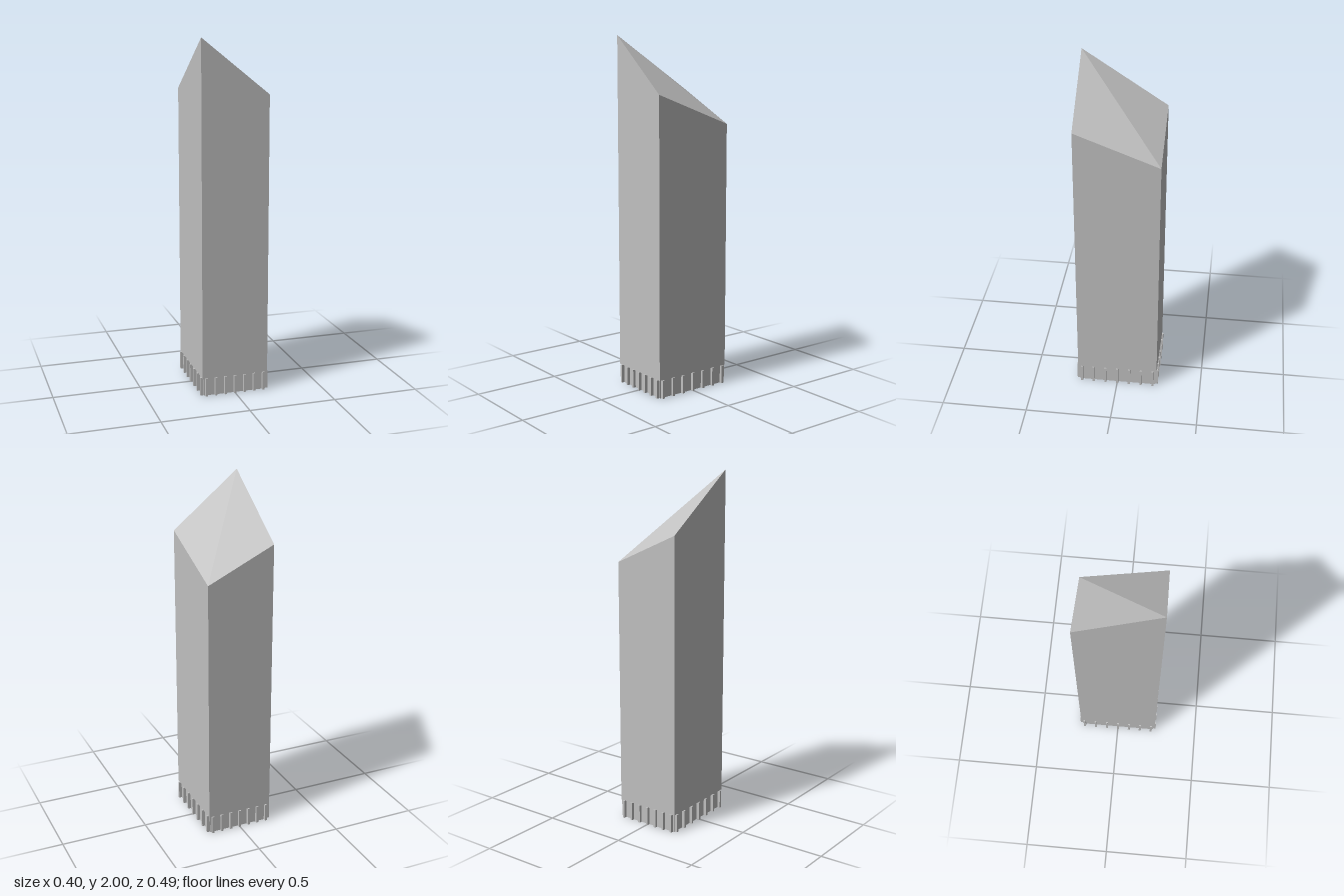
import * as THREE from 'three';

export function createModel() {
  const group = new THREE.Group();
  group.name = 'tower';
  const grey = new THREE.MeshStandardMaterial({ color: 0xc0c0c0, side: THREE.DoubleSide });
  grey.name = 'concrete grey';

  const halfX = 0.192, halfZ = 0.237;  // shaft half sizes
  const baseTop = 0.106;               // height of the ground floor
  const inset = 0.009;                 // ground floor wall recess

  const add = (name, geometry, x, y, z, turn = 0, parent = group) => {
    const mesh = new THREE.Mesh(geometry, grey);
    mesh.name = name;
    mesh.position.set(x, y, z);
    mesh.rotation.y = turn;
    parent.add(mesh);
    return mesh;
  };

  // Shaft: a box whose four top corners are cut to a folded, sloping roof
  const box = new THREE.BoxGeometry(halfX * 2, 1, halfZ * 2);
  const pos = box.attributes.position;
  for (let i = 0; i < pos.count; i++) {
    const left = pos.getX(i) > 0, front = pos.getZ(i) > 0;
    const roof = left === front ? 1.69 : front ? 2 : 1.51;
    pos.setY(i, pos.getY(i) > 0 ? roof : baseTop);
  }
  const shaft = box.toNonIndexed();
  shaft.computeVertexNormals();
  add('shaft', shaft, 0, 0, 0);

  // Ground floor: recessed walls, open underneath, ringed by small columns
  const base = new THREE.Group();
  base.name = 'groundFloor';
  group.add(base);
  const wallX = halfX - inset, wallZ = halfZ - inset;
  const depth = 0.017;
  for (const s of [-1, 1]) {
    const turnZ = s > 0 ? 0 : Math.PI;
    add('endWall', new THREE.PlaneGeometry(wallX * 2, baseTop), 0, baseTop / 2, s * wallZ, turnZ, base);
    add('sideWall', new THREE.PlaneGeometry(wallZ * 2, baseTop), s * wallX, baseTop / 2, 0, s * Math.PI / 2, base);
    for (let i = -3; i <= 3; i++) {
      add('endColumn', new THREE.BoxGeometry(0.013, baseTop, depth),
        i * 0.0565, baseTop / 2, s * (wallZ + depth / 2), 0, base);
      add('sideColumn', new THREE.BoxGeometry(depth, baseTop, 0.013),
        s * (wallX + depth / 2), baseTop / 2, i * 0.0715, 0, base);
    }
  }
  return group;
}
